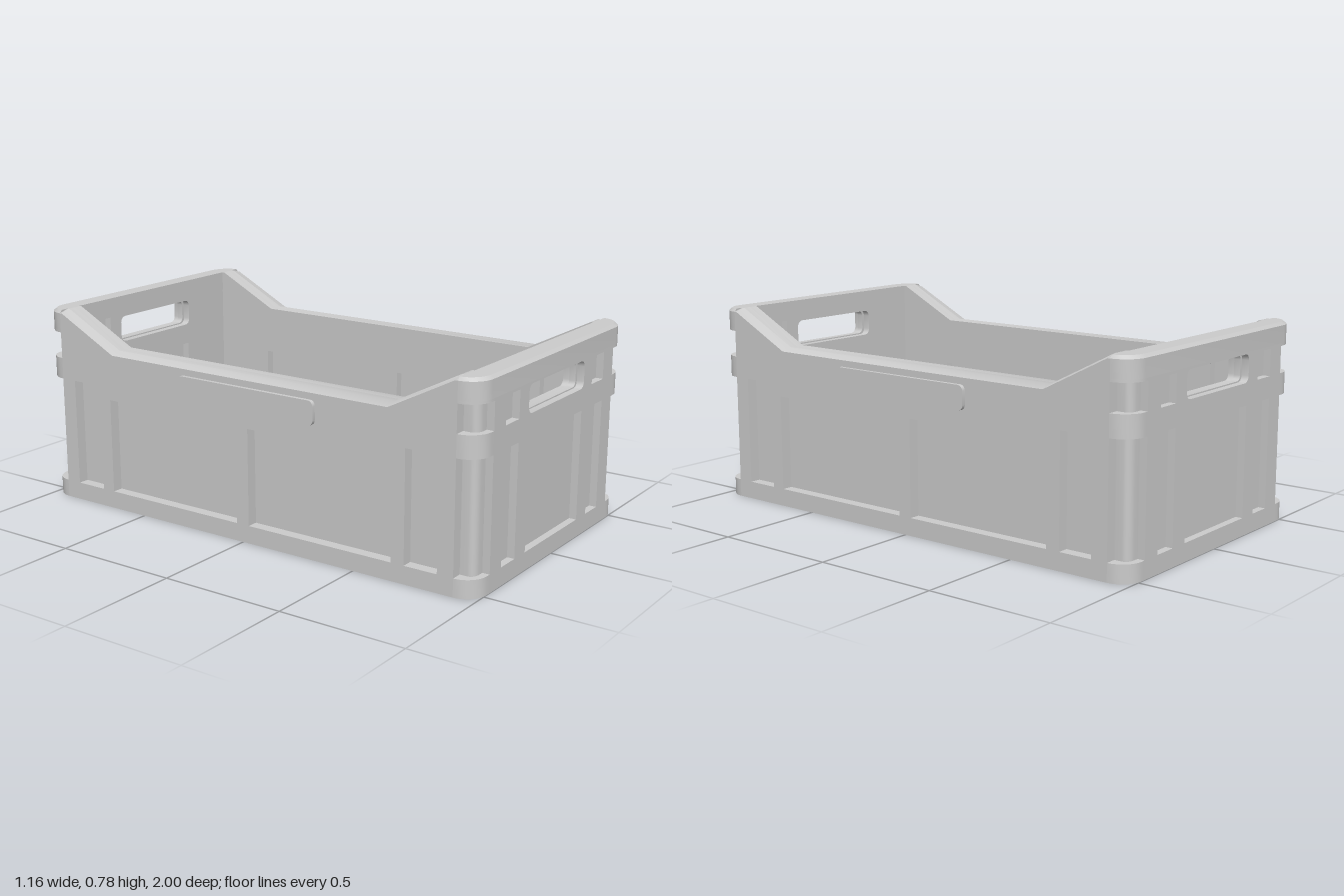
import * as THREE from 'three';
import { toCreasedNormals } from 'three/addons/utils/BufferGeometryUtils.js';

const material = new THREE.MeshStandardMaterial({ color: 0xcccccc });

const polygon = (pts) => new THREE.Shape(pts.map(([x, y]) => new THREE.Vector2(x, y)));
const rect = (x0, y0, x1, y1) => [[x0, y0], [x1, y0], [x1, y1], [x0, y1]];

// Points of an elliptical quarter from the +y axis round to the +x axis
function quarter(cx, cy, rx, ry, n = 8) {
  return Array.from({ length: n + 1 }, (_, i) => {
    const a = (i / n) * Math.PI / 2;
    return [cx + rx * Math.sin(a), cy + ry * Math.cos(a)];
  });
}

// Rectangle with rounded corners
function roundRect(x0, y0, x1, y1, r) {
  const cx = (x0 + x1) / 2, cy = (y0 + y1) / 2;
  const q = quarter(x1 - r - cx, y1 - r - cy, r, r, 4);
  const half = [...q, ...q.map(([x, y]) => [x, -y]).reverse()];
  return [...half, ...half.map(([x, y]) => [-x, -y])].map(([x, y]) => [x + cx, y + cy]);
}

function extrude(outline, depth, holes = []) {
  const shape = polygon(outline);
  shape.holes = holes.map(polygon);
  return new THREE.ExtrudeGeometry(shape, { depth, bevelEnabled: false });
}

function add(group, name, geometry) {
  const mesh = new THREE.Mesh(toCreasedNormals(geometry, 0.6), material);
  mesh.name = name;
  group.add(mesh);
  return mesh;
}

function moveVertices(geometry, rule) {
  const p = geometry.attributes.position;
  const v = new THREE.Vector3();
  for (let i = 0; i < p.count; i++) {
    rule(v.fromBufferAttribute(p, i));
    p.setXYZ(i, v.x, v.y, v.z);
  }
  return geometry;
}

// Three kinds of slab: facing z, facing x, and plan (x, z) raised from y0 to y1
const slabZ = (outline, z0, z1, holes) => extrude(outline, z1 - z0, holes).translate(0, 0, z0);
const slabX = (outline, x0, x1, holes) =>
  extrude(outline, x1 - x0, holes).rotateY(Math.PI / 2).translate(x0, 0, 0);
const slabY = (outline, y0, y1) =>
  extrude(outline, y1 - y0).rotateX(Math.PI / 2).translate(0, y1, 0);

const mirrorX = (pts) => pts.map(([x, y]) => [-x, y]);

function createEnd() {
  const end = new THREE.Group();
  const edge = 0.4625, top = 0.70;
  const wall = rect(-edge, 0, edge, top);
  const grip = roundRect(-0.205, 0.59, 0.205, 0.688, 0.02);
  const centre = rect(-0.207, 0.07, 0.207, 0.50);
  const small = [rect(0.285, 0.07, 0.382, 0.50), rect(0.285, 0.585, 0.382, 0.69)];

  // Ribbed outer face, thin panel, and inner frame
  add(end, 'endOuterFrame', slabZ(wall, 0.971, 1, [
    roundRect(-0.217, 0.585, 0.217, 0.692, 0.025), centre, ...small, ...small.map(mirrorX)]));
  add(end, 'endPanel', slabZ(wall, 0.945, 0.971, [grip]));
  add(end, 'endInnerFrame', slabZ(rect(-0.28, 0, 0.28, top), 0.915, 0.945, [
    roundRect(-0.217, 0.585, 0.217, 0.692, 0.025), centre]));

  // Corner posts alternate between full bands and recessed pockets
  const inner = [[0.49, 0.915], [0.49, 0.945], [edge, 0.945]];
  const full = [[edge, 1], ...quarter(0.48, 0.915, 0.085, 0.085), ...inner];
  const pocket = [[edge, 0.971], ...quarter(0.487, 0.945, 0.034, 0.026, 5), [0.521, 0.915], ...inner];
  const bands = [[0, 0.07, full], [0.07, 0.50, pocket], [0.50, 0.585, full],
    [0.585, 0.69, pocket], [0.69, top, full]];
  for (const [y0, y1, plan] of bands) {
    const name = plan === full ? 'cornerBand' : 'cornerPocket';
    add(end, name, slabY(plan, y0, y1));
    add(end, name, slabY(mirrorX(plan), y0, y1));
  }

  // Top rim with a softened outer edge
  const arc = quarter(0.48, 0.915, 0.085, 0.085);
  const rim = [...arc, ...mirrorX(arc).reverse()];
  add(end, 'endRim', slabY(rim, top, 0.768));
  add(end, 'endRimEdge', moveVertices(slabY(rim, 0.768, 0.78), (v) => {
    if (v.y < 0.775) return;
    v.x *= 0.98;
    if (v.z > 0.92) v.z -= 0.012 * (v.z - 0.915) / 0.085;
  }));
  return end;
}

function createSide() {
  const side = new THREE.Group();
  const topEdge = [[0.915, 0.78], [0.905, 0.78], [0.64, 0.645], [-0.64, 0.645], [-0.905, 0.78], [-0.915, 0.78]];
  const profile = [[-0.915, 0], [0.915, 0], ...topEdge];
  const large = rect(0.028, 0.07, 0.66, 0.45);
  const small = rect(0.715, 0.07, 0.85, 0.50);

  // Outer frame, its top edge falling slightly outward
  const outer = slabX(profile, 0.521, 0.565, [large, mirrorX(large), small, mirrorX(small)]);
  add(side, 'sideOuterFrame', moveVertices(outer, (v) => {
    if (v.x > 0.56 && v.y > 0.64) v.y -= 0.012;
  }));
  add(side, 'sidePanel', slabX(profile, 0.49, 0.521));

  // Inner frame, open toward the corners
  const innerOutline = [[-0.915, 0.70], [-0.70, 0.59], [-0.70, 0], [0.70, 0], [0.70, 0.59], [0.915, 0.70], ...topEdge];
  add(side, 'sideInnerFrame', slabX(innerOutline, 0.455, 0.49, [large, mirrorX(large)]));
  return side;
}

export function createModel() {
  const crate = new THREE.Group();
  crate.name = 'crate';
  for (const [i, label] of ['front', 'back'].entries()) {
    const end = createEnd();
    end.name = label + 'End';
    end.rotation.y = i * Math.PI;
    crate.add(end);
  }
  for (const [i, label] of ['left', 'right'].entries()) {
    const side = createSide();
    side.name = label + 'Side';
    side.rotation.y = i * Math.PI;
    crate.add(side);
    // Raised plate on the side wall
    const plate = slabX(roundRect(-0.315, 0.515, 0.315, 0.608, 0.02), -0.01, 0.01);
    add(crate, label + 'Plate', plate).position.set(i ? -0.57 : 0.57, 0, 0.02);
  }
  // Floor
  add(crate, 'floor', new THREE.BoxGeometry(0.98, 0.04, 1.89).translate(0, 0.02, 0));
  return crate;
}
